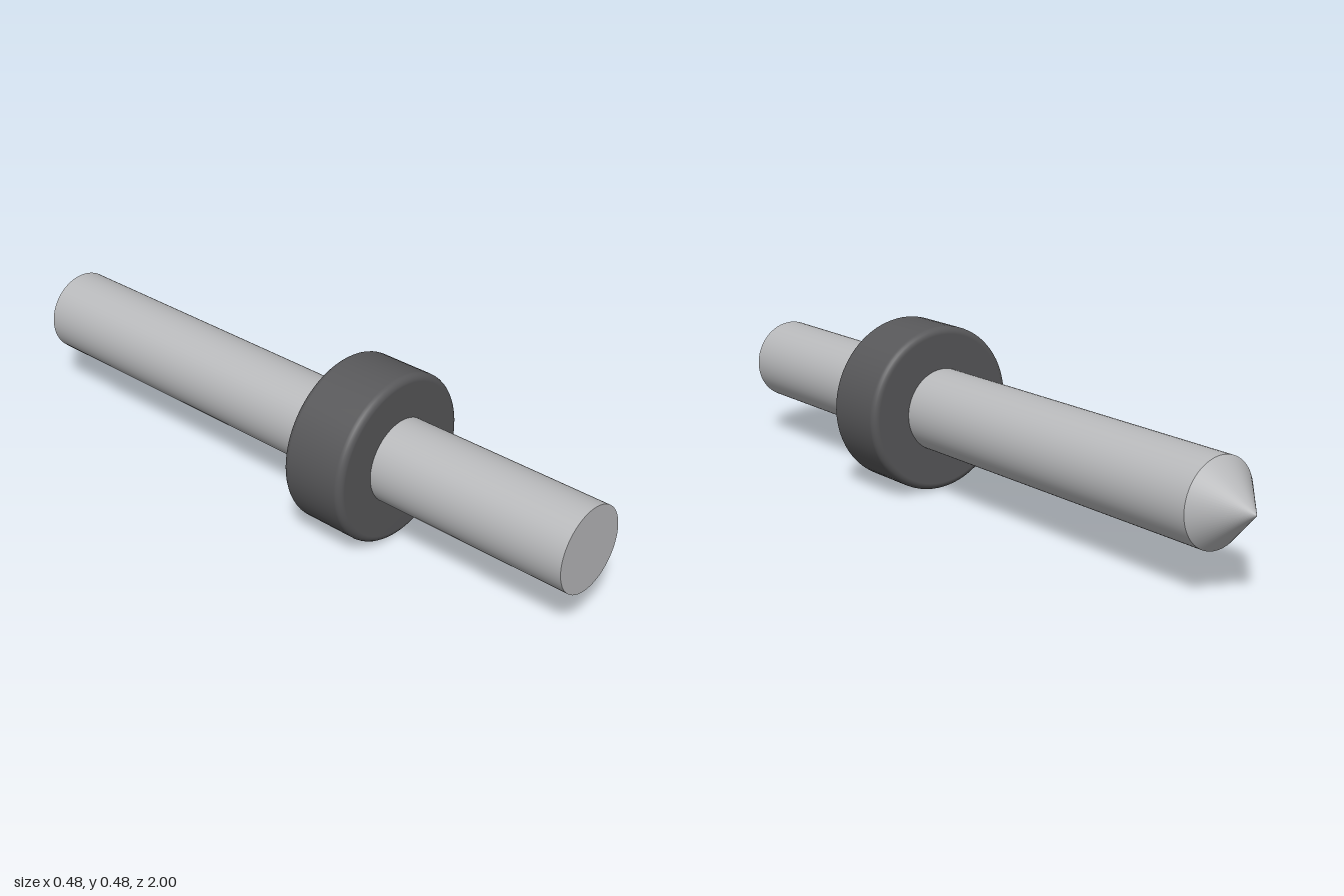
import * as THREE from 'three';

const SEGMENTS = 64;
const SHAFT_R = 0.12, COLLAR_R = 0.24;

// Closed collar profile (radius, axial position) with rounded outer edges
function collarGeometry(halfWidth, fillet) {
  const profile = [new THREE.Vector2(SHAFT_R - 0.01, -halfWidth)];
  for (const [side, start] of [[-1, -Math.PI / 2], [1, 0]]) {
    for (let i = 0; i <= 6; i++) {
      const a = start + (i / 6) * Math.PI / 2;
      profile.push(new THREE.Vector2(
        COLLAR_R - fillet + fillet * Math.cos(a),
        side * (halfWidth - fillet) + fillet * Math.sin(a)));
    }
  }
  profile.push(new THREE.Vector2(SHAFT_R - 0.01, halfWidth));
  return new THREE.LatheGeometry(profile, SEGMENTS);
}

export function createModel() {
  const steel = new THREE.MeshStandardMaterial({ color: 0xb8b9bb });
  steel.name = 'light steel';
  const dark = new THREE.MeshStandardMaterial({ color: 0x58585a });
  dark.name = 'dark grey';

  const model = new THREE.Group();
  model.name = 'pointedPin';

  // Turn a part from the y axis onto the z axis and place it along the pin
  const addPart = (name, geometry, material, z) => {
    geometry.rotateX(Math.PI / 2);
    const mesh = new THREE.Mesh(geometry, material);
    mesh.name = name;
    mesh.position.set(0, COLLAR_R, z);
    model.add(mesh);
  };

  // Shaft, flat at the front
  addPart('shaft', new THREE.CylinderGeometry(SHAFT_R, SHAFT_R, 1.88, SEGMENTS), steel, 0.06);

  // Conical point at the back
  const tip = new THREE.ConeGeometry(SHAFT_R, 0.12, SEGMENTS, 1, true);
  tip.rotateX(Math.PI);
  addPart('tip', tip, steel, -0.94);

  // Rounded collar around the shaft
  addPart('collar', collarGeometry(0.1, 0.02), dark, 0.3);

  return model;
}
